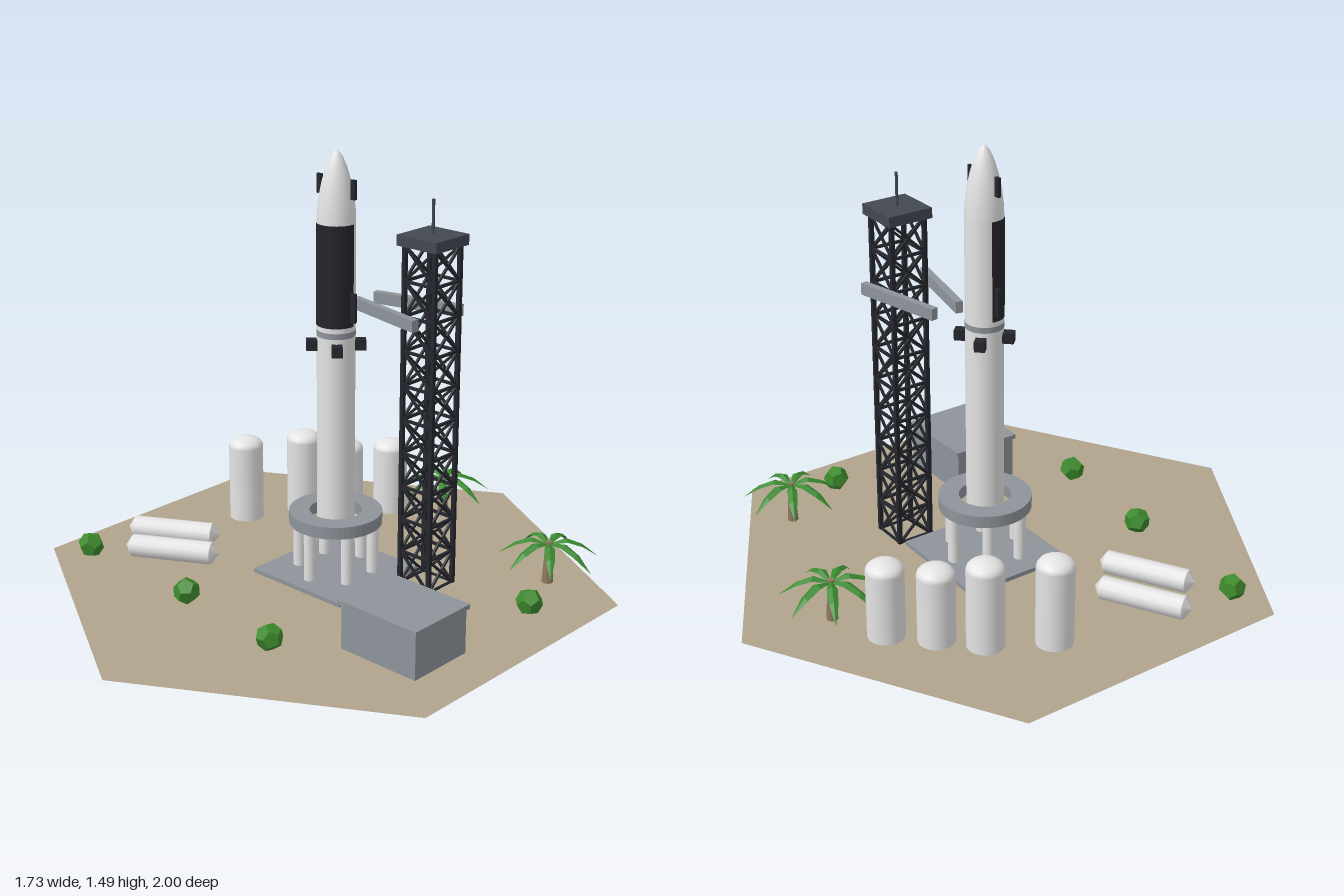
import * as THREE from 'three';
import { mergeGeometries } from 'three/addons/utils/BufferGeometryUtils.js';

const mat = (name, color, extra = {}) => {
  const m = new THREE.MeshStandardMaterial({ color, ...extra });
  m.name = name;
  return m;
};

export function createModel() {
  const sand = mat('sand', 0xb0a48d, { side: THREE.DoubleSide });
  const concrete = mat('concrete', 0x8e949b);
  const white = mat('white', 0xe4e4e4);
  const black = mat('black tiles', 0x24242c);
  const steel = mat('dark steel', 0x24272d);
  const slate = mat('slate', 0x434852);
  const bushGreen = mat('bush green', 0x3d8a2c, { flatShading: true });
  const leafGreen = mat('leaf green', 0x3a8a30, { flatShading: true, side: THREE.DoubleSide });
  const bark = mat('bark', 0x8f7a60);

  const root = new THREE.Group();
  root.name = 'launchSite';
  const add = (name, geo, material, x = 0, y = 0, z = 0, parent = root) => {
    const m = new THREE.Mesh(geo, material);
    m.name = name;
    m.position.set(x, y, z);
    parent.add(m);
    return m;
  };
  const group = (name, x, y, z) => {
    const g = new THREE.Group();
    g.name = name;
    g.position.set(x, y, z);
    root.add(g);
    return g;
  };
  const box = (w, h, d) => new THREE.BoxGeometry(w, h, d);
  const cyl = (rt, rb, h, n = 24) => new THREE.CylinderGeometry(rt, rb, h, n);
  const lathe = (pts, n = 24) => new THREE.LatheGeometry(pts.map(p => new THREE.Vector2(...p)), n);

  // Ground
  const ground = new THREE.CircleGeometry(1, 6, Math.PI / 6);
  ground.rotateX(-Math.PI / 2);
  add('ground', ground, sand, 0, 0.004, 0);

  // Launch mount: pad, ring with a hole, six legs
  const mount = group('launchMount', 0, 0, -0.05);
  add('pad', box(0.4, 0.015, 0.4), concrete, 0, 0.0125, 0, mount);
  const ringShape = new THREE.Shape().absarc(0, 0, 0.16, 0, Math.PI * 2);
  ringShape.holes.push(new THREE.Path().absarc(0, 0, 0.09, 0, Math.PI * 2, true));
  const ring = new THREE.ExtrudeGeometry(ringShape, { depth: 0.043, bevelEnabled: false, curveSegments: 24 });
  ring.rotateX(-Math.PI / 2);
  add('mountRing', ring, concrete, 0, 0.196, 0, mount);
  for (let i = 0; i < 6; i++) {
    const a = Math.PI / 6 + i * Math.PI / 3;
    add('mountLeg', cyl(0.021, 0.021, 0.18, 12), white, 0.13 * Math.cos(a), 0.108, 0.13 * Math.sin(a), mount);
  }

  // Rocket
  const rocket = group('rocket', 0, 0, -0.05);
  add('booster', cyl(0.0645, 0.0645, 0.665), white, 0, 0.5375, 0, rocket);
  add('stageRing', cyl(0.0655, 0.0655, 0.02), concrete, 0, 0.878, 0, rocket);
  add('upperStage', cyl(0.0645, 0.0645, 0.38), white, 0, 1.06, 0, rocket);
  add('noseCone', lathe([[0.0645, 1.25], [0.063, 1.29], [0.057, 1.34], [0.0475, 1.388],
    [0.035, 1.432], [0.02, 1.466], [0.008, 1.482], [0, 1.486]]), white, 0, 0, 0, rocket);
  const arc = 3.58;
  add('heatShield', new THREE.CylinderGeometry(0.066, 0.066, 0.345, 24, 1, true, -arc / 2, arc),
    black, 0, 1.0775, 0, rocket);
  for (const s of [-1, 1]) {
    add('foreFlap', box(0.019, 0.065, 0.01), black, s * 0.0745, 1.367, 0, rocket);
    add('aftFlap', box(0.03, 0.1, 0.01), black, s * 0.072, 0.973, 0, rocket);
  }
  for (let i = 0; i < 4; i++) {
    const a = Math.PI / 4 + i * Math.PI / 2;
    const fin = add('gridFin', box(0.045, 0.036, 0.036), steel, 0.077 * Math.cos(a), 0.834, 0.077 * Math.sin(a), rocket);
    fin.rotation.y = -a;
  }

  // Lattice tower: posts, level frames and cross braces on four sides
  const tower = group('tower', 0.285, 0, -0.197);
  const bars = [];
  const bar = (a, b, t) => {
    const p = new THREE.Vector3(...a), q = new THREE.Vector3(...b);
    const g = box(t, t, p.distanceTo(q));
    const o = new THREE.Object3D();
    o.position.copy(p).lerp(q, 0.5);
    o.lookAt(q);
    o.updateMatrix();
    bars.push(g.applyMatrix4(o.matrix));
  };
  const h = 0.063, levels = 10, y0 = 0.005, step = 0.119;
  const corners = [[-h, -h], [h, -h], [h, h], [-h, h]];
  corners.forEach(([x, z], i) => {
    const [u, w] = corners[(i + 1) % 4];
    bars.push(box(0.014, 1.195, 0.014).translate(x, 0.5975, z));
    for (let k = 0; k <= levels; k++) {
      const y = y0 + k * step;
      bar([x, y, z], [u, y, w], 0.009);
      if (k < levels) {
        bar([x, y, z], [u, y + step, w], 0.008);
        bar([u, y, w], [x, y + step, z], 0.008);
      }
    }
  });
  add('towerLattice', mergeGeometries(bars), steel, 0, 0, 0, tower);
  add('towerCap', box(0.165, 0.036, 0.165), slate, 0, 1.213, 0, tower);
  add('antenna', cyl(0.005, 0.005, 0.116, 8), slate, 0, 1.288, 0, tower);

  // Catch arms
  for (const s of [-1, 1]) {
    const arm = add('catchArm', box(0.325, 0.04, 0.025), concrete, 0.16, 0.957, -0.195 + s * 0.083);
    arm.rotation.y = -s * 0.22;
  }

  // Upright tanks with domed tops
  for (const [x, z, top] of [[-0.571, -0.18, 0.321], [-0.458, -0.37, 0.321], [-0.344, -0.481, 0.283], [-0.228, -0.598, 0.283]]) {
    const tank = group('uprightTank', x, 0, z);
    const body = top - 0.036;
    add('tankBody', cyl(0.063, 0.063, body - 0.005, 20), white, 0, (body + 0.005) / 2, 0, tank);
    const dome = new THREE.SphereGeometry(0.063, 20, 6, 0, Math.PI * 2, 0, Math.PI / 2).scale(1, 0.57, 1);
    add('tankDome', dome, white, 0, body, 0, tank);
  }

  // Lying tanks with conical ends
  for (const [x, z] of [[-0.591, 0.168], [-0.476, 0.281]]) {
    const tank = group('lyingTank', x, 0.05, z);
    tank.rotation.set(0, 0.51, Math.PI / 2);
    add('tankBody', cyl(0.04, 0.04, 0.29, 12), white, 0, 0, 0, tank);
    for (const s of [-1, 1]) {
      const end = add('tankEnd', new THREE.ConeGeometry(0.04, 0.025, 12), white, 0, s * 0.1575, 0, tank);
      if (s < 0) end.rotation.x = Math.PI;
    }
  }

  // Shed
  add('shedWalls', box(0.305, 0.155, 0.245), concrete, 0.55, 0.0825, 0.232);
  add('shedRoof', box(0.32, 0.016, 0.262), concrete, 0.55, 0.167, 0.232);

  // Bushes
  [[-0.714, 0.45], [-0.196, 0.47], [0.238, 0.515], [0.688, -0.243]].forEach(([x, z], i) => {
    const bush = add('bush', new THREE.DodecahedronGeometry(0.046), bushGreen, x, 0.05, z);
    bush.rotation.set(0.3, i * 1.3, 0.2);
  });

  // Palms: each leaf is a folded blade of cross-sections [distance, height, half width]
  const sections = [[0.008, 0.148, 0.006], [0.06, 0.163, 0.018], [0.115, 0.14, 0.015], [0.172, 0.092, 0.001]];
  const leafPos = [], leafIdx = [];
  sections.forEach(([d, y, w], i) => {
    leafPos.push(d, y - w * 0.5, -w, d, y, 0, d, y - w * 0.5, w);
    if (i) for (const k of [0, 1]) {
      const a = (i - 1) * 3 + k, b = i * 3 + k;
      leafIdx.push(a, a + 1, b, a + 1, b + 1, b);
    }
  });
  const leaf = new THREE.BufferGeometry();
  leaf.setAttribute('position', new THREE.Float32BufferAttribute(leafPos, 3));
  leaf.setIndex(leafIdx);
  leaf.computeVertexNormals();
  for (const [x, z] of [[-0.048, -0.693], [0.587, -0.484]]) {
    const palm = group('palm', x, 0, z);
    add('trunk', cyl(0.012, 0.02, 0.15, 8), bark, 0, 0.08, 0, palm);
    for (let i = 0; i < 7; i++) {
      add('palmLeaf', leaf, leafGreen, 0, 0, 0, palm).rotation.y = i * Math.PI * 2 / 7;
    }
  }
  return root;
}
